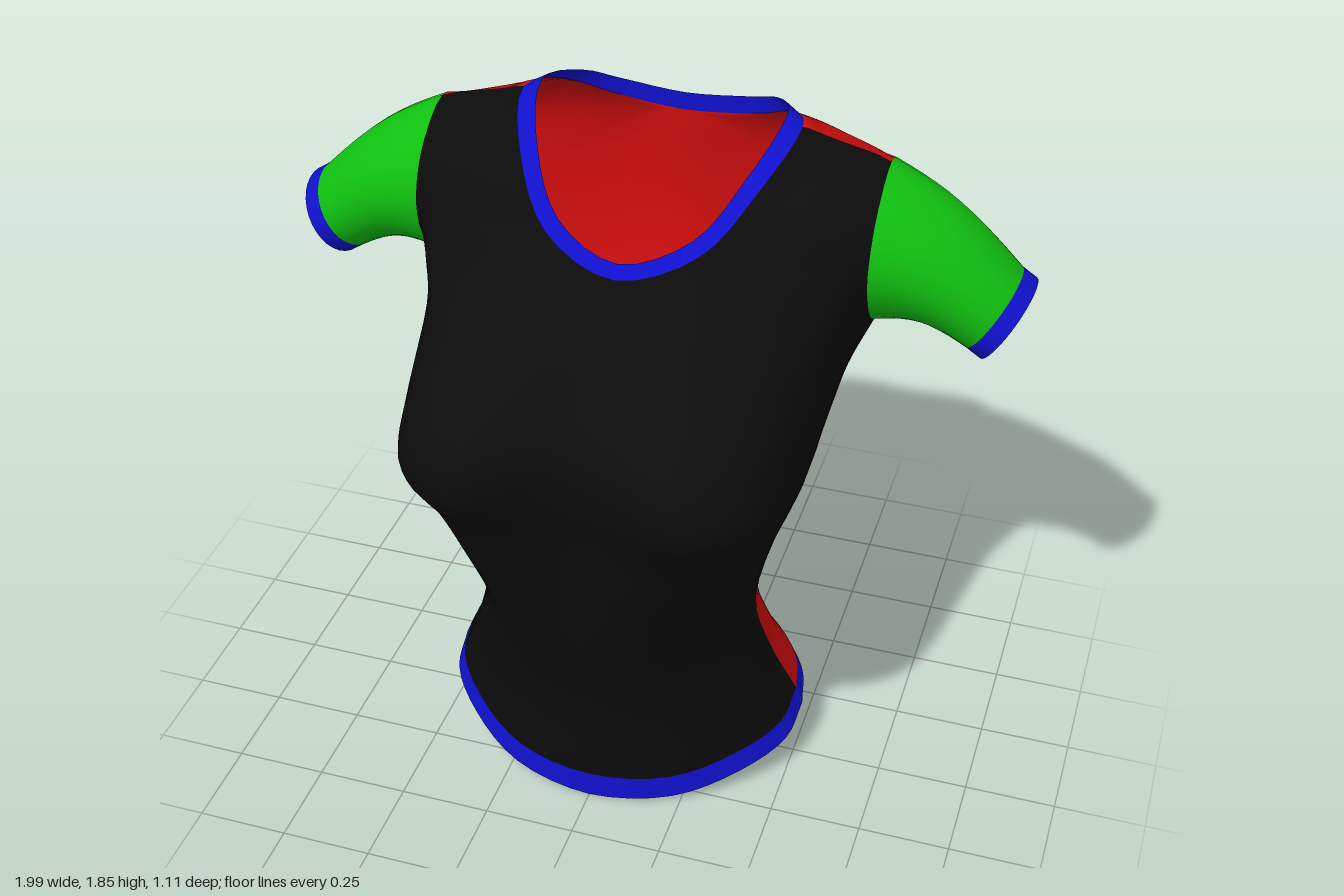
import * as THREE from 'three';
import { ParametricGeometry } from 'three/addons/geometries/ParametricGeometry.js';

const BLACK = 0x0b0b0b, RED = 0xcc0d0d, GREEN = 0x10c010, BLUE = 0x1010cc;

const V = (x, y, z) => new THREE.Vector3(x, y, z);
const pts = (list) => list.map((p) => V(...p));
const mirror = (p) => V(-p.x, p.y, p.z);
const spline = (points, closed = false) => new THREE.CatmullRomCurve3(points, closed);

// Lengthwise guide lines of the left half, 12 stations from hem to shoulder.
// Stations 0-7 run up the side seam, 7-11 around the armhole, 8-11 around the neckline.
const shoulder = pts([[0.37, 1.83, -0.28], [0.43, 1.815, -0.28], [0.49, 1.8, -0.28], [0.55, 1.787, -0.28], [0.6, 1.77, -0.28]]);
const sideSeam = pts([
  [0.49, 0.2, -0.04], [0.415, 0.38, 0], [0.375, 0.55, 0.02], [0.43, 0.8, -0.03],
  [0.475, 0.95, -0.09], [0.515, 1.1, -0.14], [0.545, 1.22, -0.185], [0.598, 1.34, -0.25]]);

const frontCentre = pts([
  [0, 0.07, 0.342], [0, 0.34, 0.345], [0, 0.55, 0.395], [0, 0.8, 0.42], [0, 0.95, 0.435], [0, 1.1, 0.455],
  [0, 1.22, 0.44], [0, 1.36, 0.32], [0, 1.54, 0.11], [0.2, 1.605, 0.045], [0.31, 1.735, -0.085]]);
const frontBust = pts([
  [0.22, 0.085, 0.3], [0.19, 0.34, 0.31], [0.18, 0.55, 0.36], [0.22, 0.8, 0.435], [0.25, 0.94, 0.47], [0.29, 1.1, 0.55],
  [0.27, 1.22, 0.525], [0.25, 1.36, 0.35], [0.24, 1.5, 0.148], [0.31, 1.595, 0.04], [0.38, 1.72, -0.08]]);
const frontFlank = pts([
  [0.38, 0.125, 0.19], [0.33, 0.35, 0.215], [0.31, 0.55, 0.25], [0.37, 0.8, 0.32], [0.41, 0.95, 0.38], [0.45, 1.1, 0.46],
  [0.43, 1.22, 0.43], [0.42, 1.36, 0.26], [0.4, 1.47, 0.12], [0.42, 1.585, 0.02], [0.45, 1.71, -0.08]]);
const frontSide = pts([
  [0.475, 0.165, 0.07], [0.405, 0.37, 0.1], [0.37, 0.55, 0.13], [0.425, 0.8, 0.15], [0.475, 0.95, 0.2], [0.52, 1.1, 0.25],
  [0.52, 1.22, 0.2], [0.525, 1.35, 0.07], [0.53, 1.45, 0.03], [0.53, 1.57, -0.02], [0.53, 1.69, -0.09]]);
const frontArmhole = pts([[0.6, 1.43, -0.115], [0.6, 1.555, -0.07], [0.6, 1.68, -0.12]]);

const backCentre = pts([
  [0, 0.25, -0.365], [0, 0.37, -0.285], [0, 0.55, -0.225], [0, 0.8, -0.31], [0, 0.95, -0.375], [0, 1.1, -0.435],
  [0, 1.24, -0.485], [0, 1.45, -0.52], [0, 1.71, -0.51], [0.2, 1.735, -0.5], [0.3, 1.785, -0.44]]);
const backBlade = pts([
  [0.2, 0.255, -0.34], [0.16, 0.37, -0.275], [0.15, 0.55, -0.22], [0.17, 0.8, -0.325], [0.19, 0.95, -0.4], [0.2, 1.1, -0.465],
  [0.21, 1.23, -0.517], [0.22, 1.41, -0.548], [0.22, 1.6, -0.55], [0.3, 1.7, -0.515], [0.38, 1.77, -0.44]]);
const backFlank = pts([
  [0.36, 0.25, -0.26], [0.3, 0.37, -0.22], [0.27, 0.55, -0.18], [0.3, 0.8, -0.27], [0.33, 0.95, -0.335], [0.36, 1.1, -0.395],
  [0.38, 1.22, -0.45], [0.4, 1.37, -0.5], [0.4, 1.54, -0.525], [0.41, 1.66, -0.51], [0.45, 1.745, -0.44]]);
const backSide = pts([
  [0.46, 0.22, -0.15], [0.39, 0.38, -0.11], [0.35, 0.55, -0.08], [0.4, 0.8, -0.16], [0.44, 0.95, -0.22], [0.48, 1.1, -0.27],
  [0.505, 1.22, -0.33], [0.54, 1.345, -0.4], [0.535, 1.48, -0.48], [0.525, 1.6, -0.49], [0.53, 1.715, -0.435]]);
const backArmhole = pts([[0.6, 1.43, -0.425], [0.6, 1.555, -0.472], [0.6, 1.68, -0.43]]);

// Closed loops shared by the panels, sleeves and trims
const armhole = spline([sideSeam[7], ...frontArmhole, shoulder[4], ...backArmhole.slice().reverse()], true);
const neckHalf = [...frontCentre.slice(8), shoulder[0], ...backCentre.slice(8).reverse()];
const neck = spline([...neckHalf, ...neckHalf.slice(1, -1).reverse().map(mirror)], true);

// Surface of one half panel: u from centre to side, v from hem to shoulder
function makePanel(centre, inner, isFront) {
  const centreLine = spline(centre.slice(0, 9));
  const seamLine = spline(sideSeam);
  const innerLines = inner.map((line, i) => spline([...line, shoulder[i + 1]]));
  return (u, v) => {
    const s = v * 11;
    const c = s <= 8 ? centreLine.getPoint(s / 8) : neck.getPoint((isFront ? s - 8 : 14 - s) / 12);
    const e = s <= 7 ? seamLine.getPoint(s / 7) : armhole.getPoint(isFront ? (s - 7) / 8 : 1 - (s - 7) / 8);
    const mid = innerLines.map((l) => l.getPoint(v));
    const ghost = V(2 * c.x - mid[0].x, mid[0].y, mid[0].z); // keeps the centre line smooth
    return spline([ghost, c, ...mid, e]).getPoint((1 + 4 * u) / 5);
  };
}
const frontPanel = makePanel(frontCentre, [frontBust, frontFlank, frontSide], true);
const backPanel = makePanel(backCentre, [backBlade, backFlank, backSide], false);

// Trim strip continuing a panel below its hem
const hemStrip = (panel, isFront) => (u, v) => {
  const p = panel(u, 0), k = 1 - v;
  const dy = isFront ? -0.07 + 0.02 * u : -0.045 - 0.005 * u;
  const dz = (isFront ? 0.008 : -0.035) * (1 - u);
  return V(p.x * (1 + 0.04 * k), p.y + dy * k, p.z + dz * k);
};

// Trim strip running inward from the neckline
const neckStrip = (t, v) => {
  const p = neck.getPoint(t), f = Math.cos(2 * Math.PI * t);
  return V(p.x * (1 - 0.12 * v), p.y + (0.02 + 0.02 * f * f - 0.01 * f) * v, p.z - 0.015 * (1 + f) * v);
};

// Sleeve opening: a tilted ellipse, starting from its lowest point
const cuffRing = (t, cx, cy) => {
  const a = 2 * Math.PI * t;
  return V(cx - 0.0615 * Math.cos(a), cy - 0.102 * Math.cos(a), -0.28 + 0.14 * Math.sin(a));
};
const sleeveSurface = (t, v) => {
  const p = armhole.getPoint(t).lerp(cuffRing(t, 0.893, 1.402), v);
  p.y += 0.03 * Math.sin(Math.PI * v);
  return p;
};
const cuffSurface = (t, v) => cuffRing(t, 0.893, 1.402).lerp(cuffRing(t, 0.932, 1.376), v);

export function createModel() {
  const group = new THREE.Group();
  group.name = 'shirt';

  // Adds a surface; side -1 mirrors it, flip turns its winding outward
  function add(name, color, fn, slices, stacks, side = 1, flip = false) {
    const reverse = (side < 0) !== flip;
    const geometry = new ParametricGeometry((u, v, target) => {
      target.copy(fn(reverse ? 1 - u : u, v));
      target.x *= side;
    }, slices, stacks);
    const material = new THREE.MeshStandardMaterial({ color, side: THREE.DoubleSide });
    const mesh = new THREE.Mesh(geometry, material);
    mesh.name = name;
    group.add(mesh);
  }

  for (const side of [1, -1]) {
    const s = side > 0 ? 'left' : 'right';
    add(s + 'FrontPanel', BLACK, frontPanel, 16, 44, side);
    add(s + 'BackPanel', RED, backPanel, 16, 44, side, true);
    add(s + 'FrontHem', BLUE, hemStrip(frontPanel, true), 16, 2, side);
    add(s + 'BackHem', BLUE, hemStrip(backPanel, false), 16, 2, side, true);
    add(s + 'Sleeve', GREEN, sleeveSurface, 32, 10, side, true);
    add(s + 'Cuff', BLUE, cuffSurface, 32, 2, side, true);
  }
  add('neckband', BLUE, neckStrip, 48, 2);
  return group;
}
